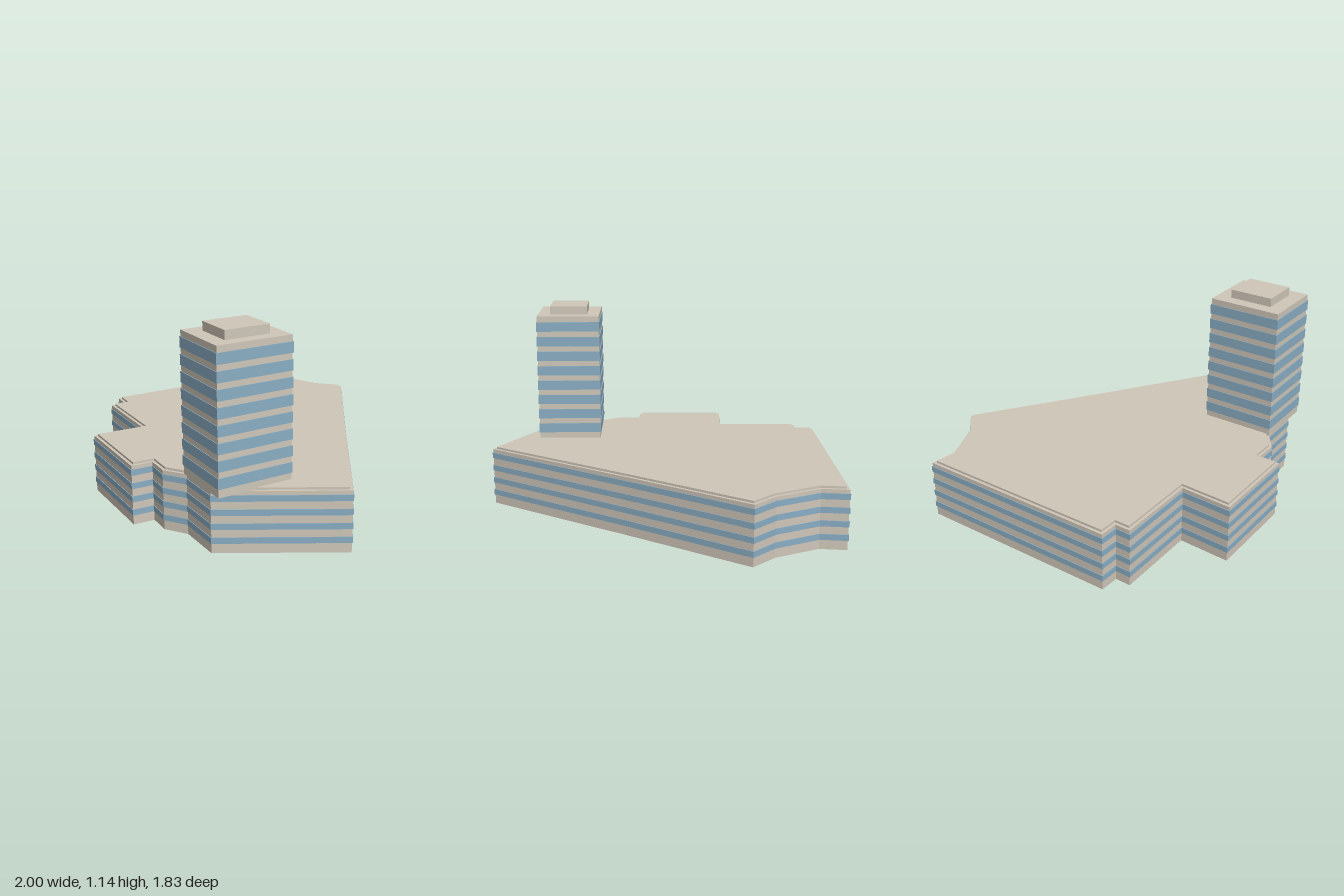
import * as THREE from 'three';

const stone = new THREE.MeshStandardMaterial({ color: 0xd0c7b9 });
stone.name = 'pale stone';
const glass = new THREE.MeshStandardMaterial({ color: 0x8aaec4 });
glass.name = 'blue glass';

// Ground plans as [x, z] corners
const podiumPlan = [
  [-0.853, -0.772], [-0.709, -0.735], [-0.452, -0.815], [-0.313, -0.915],
  [0.28, -0.392], [0.992, 0.222], [0.565, 0.775], [0.315, 0.745],
  [0.19, 0.81], [0.06, 0.79], [0.04, 0.907], [-0.487, 0.834],
  [-0.436, 0.548], [-0.904, 0.482], [-0.892, 0.397], [-0.997, 0.378],
];
const towerPlan = [[0.35, 0.339], [0.713, 0.384], [0.662, 0.796], [0.298, 0.75]];
const penthousePlan = [[0.412, 0.43], [0.631, 0.457], [0.601, 0.705], [0.382, 0.677]];

// Moves every edge of a clockwise-from-above plan outward by d, with mitred corners
function offsetPlan(plan, d) {
  const n = plan.length;
  const normal = (a, b) => {
    const dx = b[0] - a[0], dz = b[1] - a[1], l = Math.hypot(dx, dz);
    return [dz / l, -dx / l];
  };
  return plan.map((p, i) => {
    const u = normal(plan[(i + n - 1) % n], p);
    const v = normal(p, plan[(i + 1) % n]);
    const k = d / (1 + u[0] * v[0] + u[1] * v[1]);
    return [p[0] + (u[0] + v[0]) * k, p[1] + (u[1] + v[1]) * k];
  });
}

// Upright prism over a plan, from y0 to y1
function prism(name, plan, y0, y1, material) {
  const shape = new THREE.Shape(plan.map(([x, z]) => new THREE.Vector2(x, -z)));
  const geometry = new THREE.ExtrudeGeometry(shape, { depth: y1 - y0, bevelEnabled: false });
  geometry.rotateX(-Math.PI / 2);
  geometry.translate(0, y0, 0);
  const mesh = new THREE.Mesh(geometry, material);
  mesh.name = name;
  return mesh;
}

// Evenly spaced window strips standing slightly proud of the walls
function windowBands(name, plan, count, firstY, pitch, height) {
  const group = new THREE.Group();
  group.name = name;
  const outer = offsetPlan(plan, 0.004);
  for (let i = 0; i < count; i++) {
    const y = firstY + i * pitch;
    group.add(prism('windowBand' + (i + 1), outer, y, y + height, glass));
  }
  return group;
}

export function createModel() {
  const model = new THREE.Group();
  model.name = 'officeBuilding';

  // Low, wide podium with a set-back roof slab
  const podium = new THREE.Group();
  podium.name = 'podium';
  podium.add(
    prism('podiumWalls', podiumPlan, 0, 0.334, stone),
    prism('podiumRoof', offsetPlan(podiumPlan, -0.016), 0.334, 0.346, stone),
    windowBands('podiumWindows', podiumPlan, 4, 0.053, 0.0755, 0.033),
  );

  // Tower on the front corner with a small roof house
  const tower = new THREE.Group();
  tower.name = 'tower';
  tower.add(
    prism('towerWalls', towerPlan, 0.335, 1.09, stone),
    windowBands('towerWindows', towerPlan, 8, 0.381, 0.0884, 0.056),
    prism('penthouse', penthousePlan, 1.09, 1.138, stone),
  );

  model.add(podium, tower);
  return model;
}
